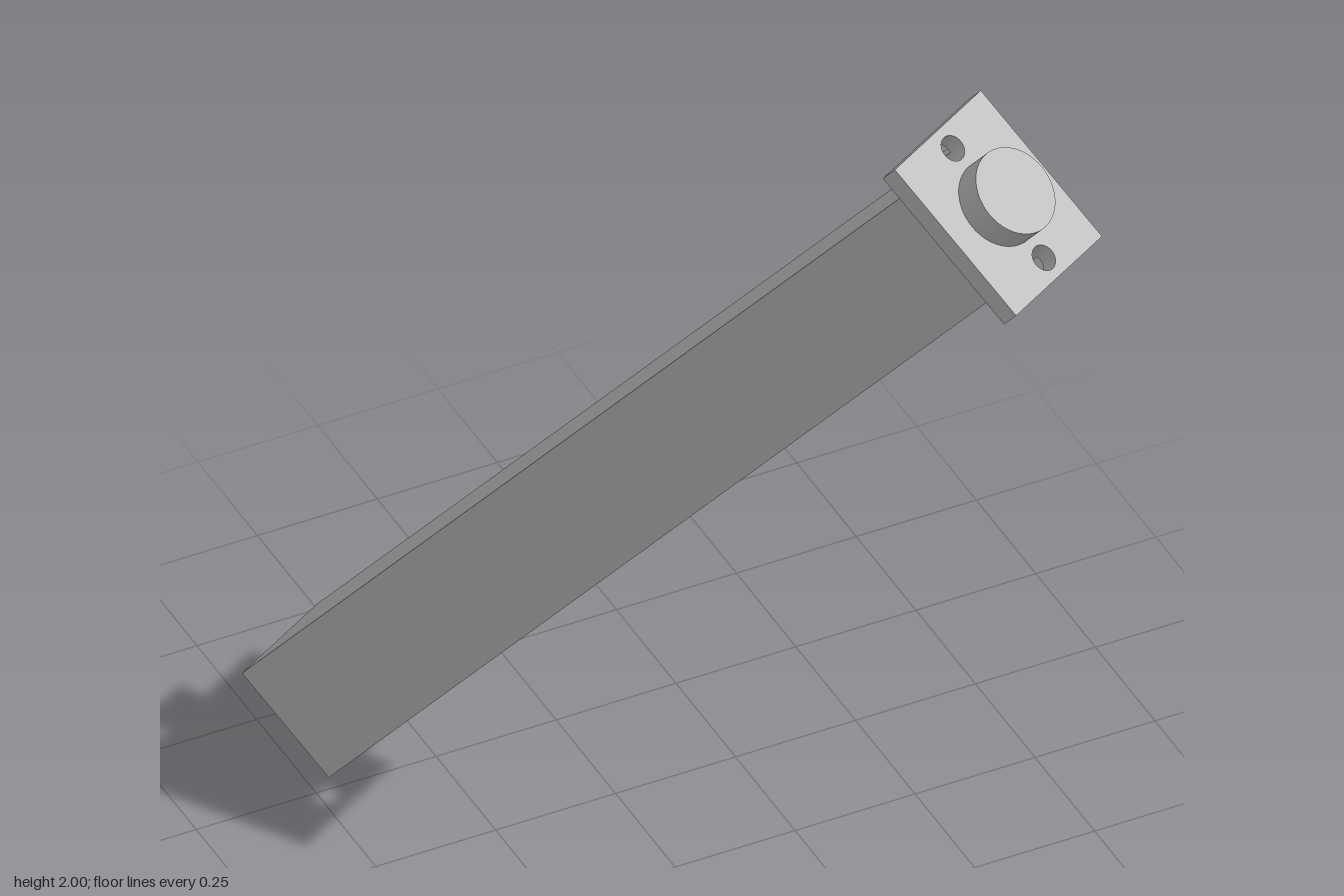
import * as THREE from 'three';
import { toCreasedNormals } from 'three/addons/utils/BufferGeometryUtils.js';

const TILT = THREE.MathUtils.degToRad(40);
const TURN = THREE.MathUtils.degToRad(30);
const LENGTH = 2.355;        // foot of the shaft to the top of the plate
const HALF = 0.127;          // half width of the square shaft
const PLATE = { w: 0.29, d: 0.355, t: 0.042 };
const HOLE = { r: 0.026, z: 0.133 };
const NOTCH = 0.045;         // depth the holes run on into the shaft

// Extrude a plan shape upwards from y = base
function slab(shape, height, base) {
  const geo = new THREE.ExtrudeGeometry(shape, { depth: height, bevelEnabled: false, curveSegments: 24 });
  geo.rotateX(-Math.PI / 2).translate(0, base, 0);
  return toCreasedNormals(geo, 0.6);
}

// Square shaft outline with the two holes biting into opposite faces
function notchedSquare() {
  const a = Math.asin((HOLE.z - HALF) / HOLE.r);
  const s = new THREE.Shape();
  s.moveTo(-HALF, -HALF);
  s.lineTo(-HOLE.r * Math.cos(a), -HALF);
  s.absarc(0, -HOLE.z, HOLE.r, Math.PI - a, a, true);
  s.lineTo(HALF, -HALF);
  s.lineTo(HALF, HALF);
  s.lineTo(HOLE.r * Math.cos(a), HALF);
  s.absarc(0, HOLE.z, HOLE.r, -a, -Math.PI + a, true);
  s.lineTo(-HALF, HALF);
  s.closePath();
  return s;
}

// Rectangular plate with two round through holes
function plateShape() {
  const x = PLATE.w / 2, y = PLATE.d / 2;
  const s = new THREE.Shape([[-x, -y], [x, -y], [x, y], [-x, y]].map(p => new THREE.Vector2(...p)));
  for (const side of [-1, 1]) {
    s.holes.push(new THREE.Path().absarc(0, side * HOLE.z, HOLE.r, 0, Math.PI * 2, true));
  }
  return s;
}

export function createModel() {
  const grey = new THREE.MeshStandardMaterial({ color: 0xc0c0c0 });
  grey.name = 'light grey';

  const model = new THREE.Group();
  model.name = 'flangedBar';

  // Local frame: y runs along the bar, origin at the top centre of the plate
  const bar = new THREE.Group();
  bar.name = 'tiltedBar';
  bar.rotation.set(TILT, TURN, 0, 'YXZ');
  bar.position.set(0.36, 1.886, 0.632);
  model.add(bar);

  const add = (name, geo) => {
    const mesh = new THREE.Mesh(geo, grey);
    mesh.name = name;
    bar.add(mesh);
  };

  // Long square shaft and its notched top
  const shaftLength = LENGTH - PLATE.t - NOTCH;
  add('shaft', new THREE.BoxGeometry(HALF * 2, shaftLength, HALF * 2)
    .translate(0, -LENGTH + shaftLength / 2, 0));
  add('notchedShaftTop', slab(notchedSquare(), NOTCH, -PLATE.t - NOTCH));

  // End plate and round boss
  add('endPlate', slab(plateShape(), PLATE.t, -PLATE.t));
  add('boss', new THREE.CylinderGeometry(0.088, 0.088, 0.06, 48).translate(0, 0.03, 0));

  return model;
}
